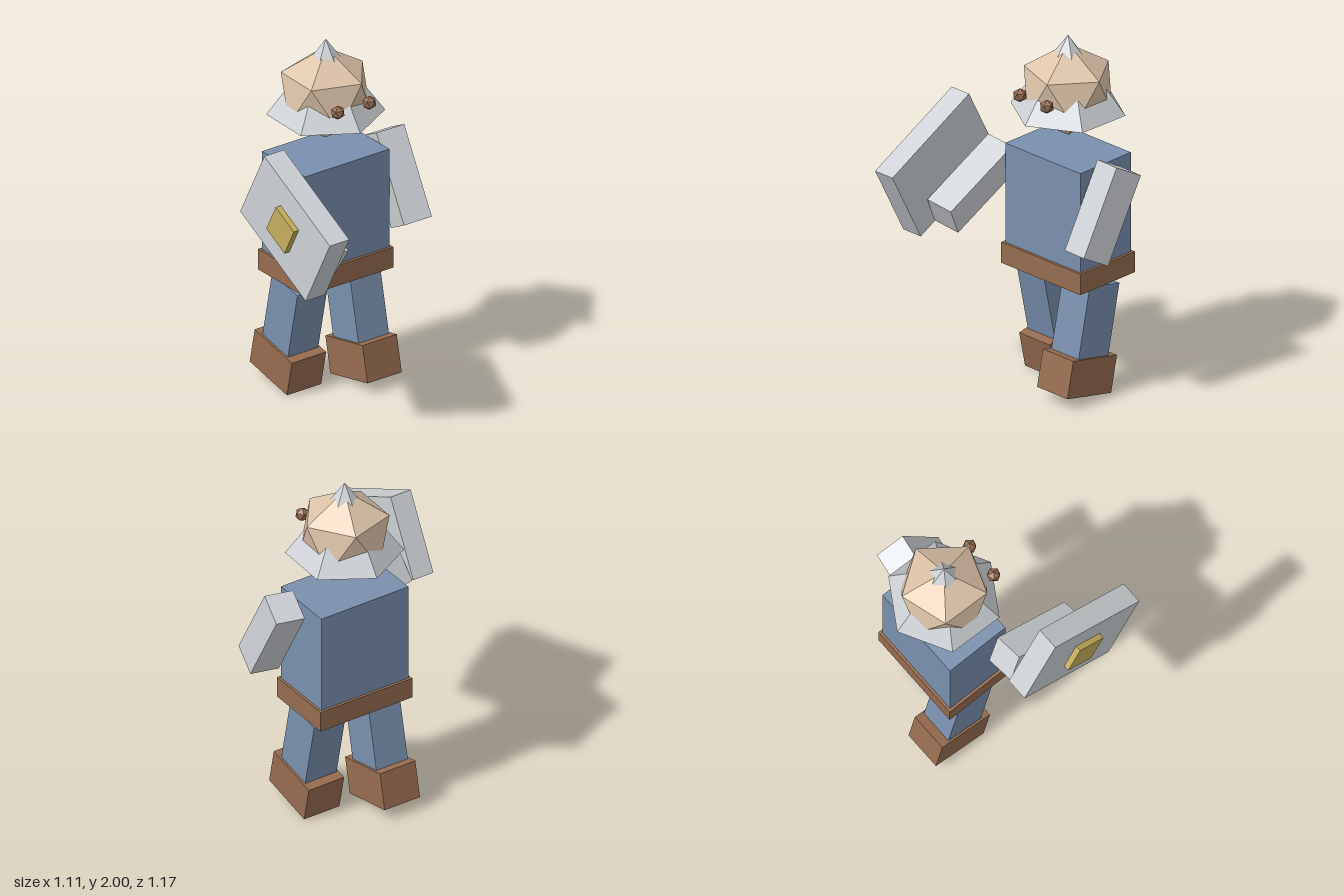
import * as THREE from 'three';

const material = (name, color) => {
  const m = new THREE.MeshStandardMaterial({ color, flatShading: true });
  m.name = name;
  return m;
};

export function createModel() {
  const blue = material('blue cloth', 0x7a90ae);
  const brown = material('brown leather', 0x966c50);
  const steel = material('pale steel', 0xcdd1d5);
  const skin = material('skin', 0xdcc3a8);
  const gold = material('gold', 0xc4ae5c);

  const model = new THREE.Group();
  model.name = 'warrior';

  const add = (parent, name, geometry, mat, position, rotation = [0, 0, 0]) => {
    const mesh = new THREE.Mesh(geometry, mat);
    mesh.name = name;
    mesh.position.set(...position);
    mesh.rotation.set(...rotation);
    parent.add(mesh);
    return mesh;
  };
  const box = (w, h, d) => new THREE.BoxGeometry(w, h, d);

  // Icosahedron standing on one corner, with an upper corner towards +x
  const ball = (radius) =>
    new THREE.IcosahedronGeometry(radius, 0).rotateZ(-Math.atan2(2, 1 + Math.sqrt(5)));

  // Body, turned very slightly
  const body = new THREE.Group();
  body.name = 'body';
  body.position.set(0.07, 0, -0.272);
  body.rotation.y = 0.026;
  model.add(body);
  add(body, 'torso', box(0.555, 0.645, 0.38), blue, [0, 1.0225, 0]);
  add(body, 'belt', box(0.585, 0.12, 0.41), brown, [0, 0.71, 0]);

  // Striding legs: left forward, right back
  for (const side of [1, -1]) {
    const leg = new THREE.Group();
    leg.name = side > 0 ? 'leftLeg' : 'rightLeg';
    leg.position.set(side * 0.17, 0.635, 0);
    leg.rotation.x = -side * 0.21;
    add(leg, 'trouser', box(0.2, 0.44, 0.228), blue, [0, -0.22, 0]);
    add(leg, 'boot', box(0.225, 0.21, 0.335), brown, [0, -0.507, 0]);
    body.add(leg);
  }

  // Shield with its boss, tilted like the raised arm
  const shield = new THREE.Group();
  shield.name = 'shield';
  shield.position.set(-0.537, 1.237, 0.445);
  shield.rotation.x = -1.09;
  add(shield, 'shieldPlate', box(0.128, 0.65, 0.46), steel, [0, 0, 0]);
  add(shield, 'shieldBoss', box(0.045, 0.18, 0.18), gold, [-0.074, 0, 0]);
  body.add(shield);

  // Arms
  const arm = box(0.167, 0.51, 0.177);
  add(model, 'leftArm', arm, steel, [0.453, 1.13, -0.157], [-0.5, -0.14, 0.01]);
  add(model, 'rightArm', arm, steel, [-0.303, 1.122, 0.0625], [-1.093, 0.16, 0.01]);

  // Head, with the pointed helmet running through it
  const head = new THREE.Group();
  head.name = 'head';
  head.position.set(0.07, 1.685, -0.272);
  add(head, 'face', ball(0.265), skin, [0, 0, 0]);
  add(head, 'helmet', new THREE.ConeGeometry(0.315, 0.43, 6), steel, [0, 0.1, 0]);
  for (const side of [1, -1]) {
    add(head, side > 0 ? 'leftEye' : 'rightEye', ball(0.04), brown, [side * 0.102, 0.012, 0.254]);
  }
  model.add(head);

  return model;
}
